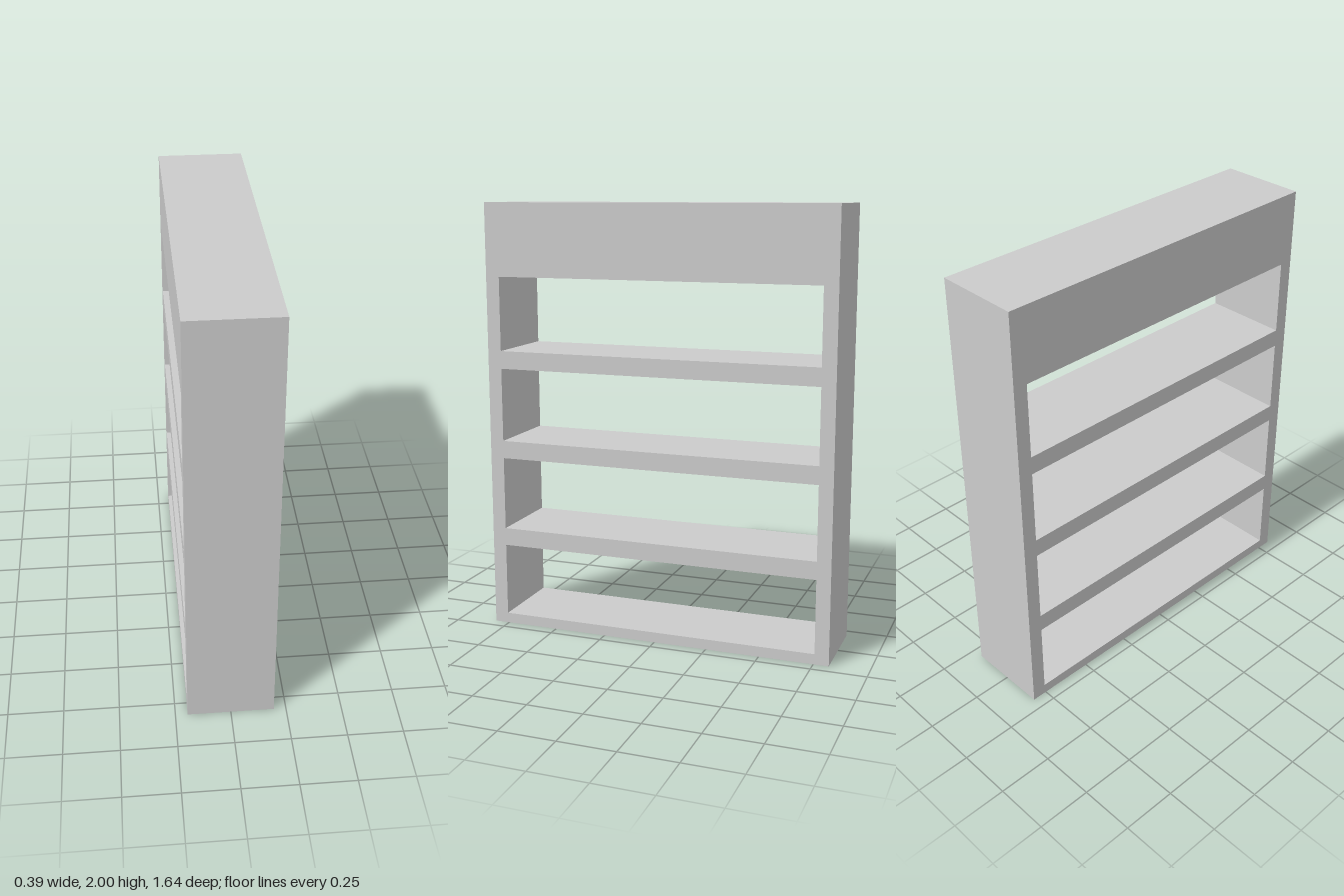
import * as THREE from 'three';

const HEIGHT = 2, WIDTH = 1.64, DEPTH = 0.39;
const OPENING_WIDTH = 1.51, OPENING_HEIGHT = 0.342;
const FIRST_OPENING = 0.048, OPENING_STEP = 0.425, OPENINGS = 4;

// Adds a rectangle, centred sideways, to a shape or path
function rectangle(path, width, bottom, height) {
  const w = width / 2, top = bottom + height;
  path.moveTo(-w, bottom);
  path.lineTo(w, bottom);
  path.lineTo(w, top);
  path.lineTo(-w, top);
  path.closePath();
  return path;
}

export function createModel() {
  const group = new THREE.Group();
  group.name = 'openShelfUnit';

  // Outline of the case: sides, base and deep top panel
  const outline = rectangle(new THREE.Shape(), WIDTH, 0, HEIGHT);

  // Compartments open right through; the bars between them are the shelves
  for (let i = 0; i < OPENINGS; i++) {
    outline.holes.push(
      rectangle(new THREE.Path(), OPENING_WIDTH, FIRST_OPENING + i * OPENING_STEP, OPENING_HEIGHT)
    );
  }

  // Extrude through the depth, then turn so the openings face sideways (x)
  const geometry = new THREE.ExtrudeGeometry(outline, { depth: DEPTH, bevelEnabled: false });
  geometry.translate(0, 0, -DEPTH / 2);
  geometry.rotateY(Math.PI / 2);

  const shelfCase = new THREE.Mesh(
    geometry,
    new THREE.MeshStandardMaterial({ color: 0xcccccc, flatShading: true })
  );
  shelfCase.name = 'caseWithShelves';
  group.add(shelfCase);

  return group;
}
